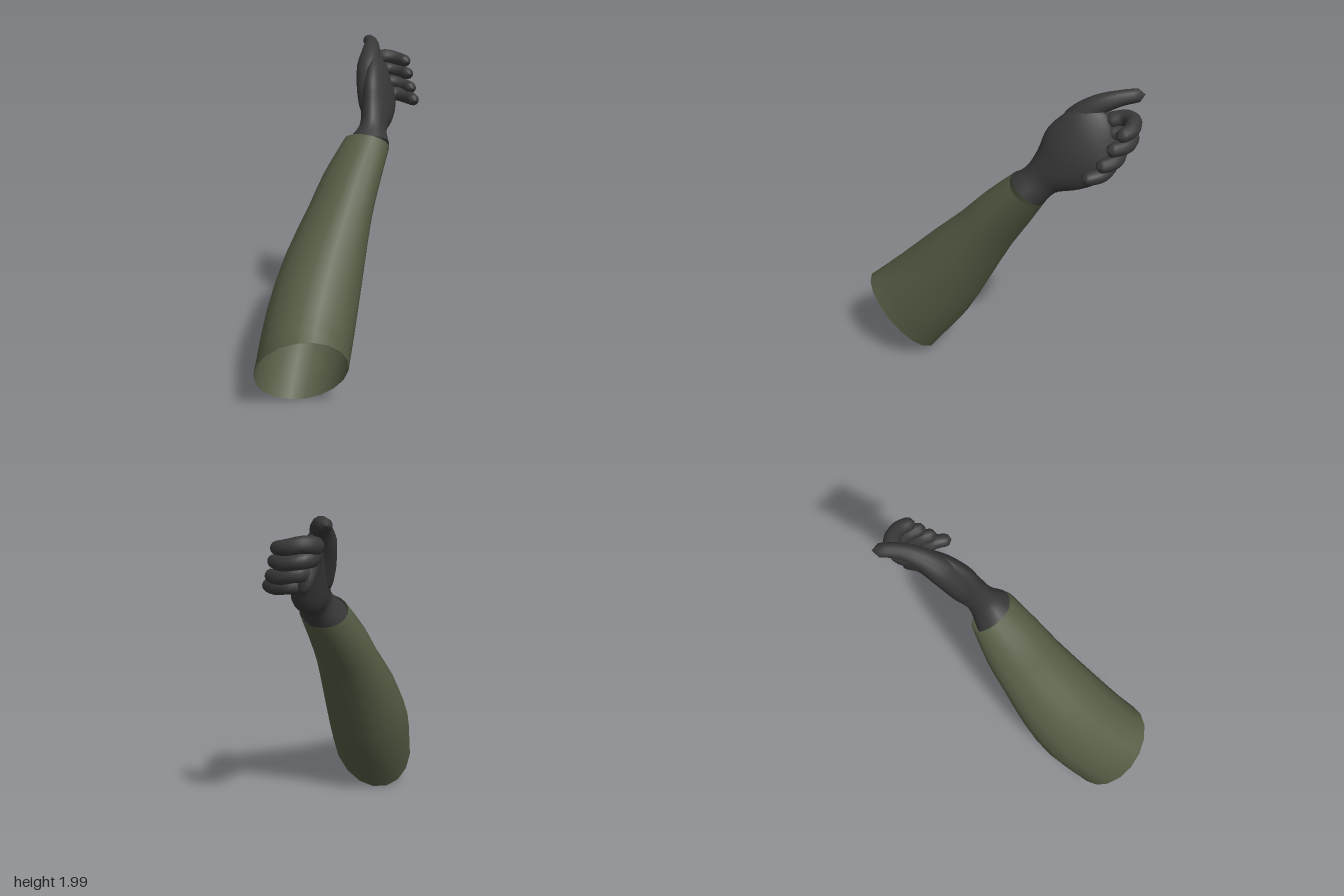
import * as THREE from 'three';

const V = (x, y, z) => new THREE.Vector3(x, y, z);

// Ring of points around centre c, spanned by half axes p and q
function ring(c, p, q, n, offset = 0) {
  return Array.from({ length: n }, (_, j) => {
    const a = (j / n) * Math.PI * 2 + offset;
    return c.clone().addScaledVector(p, Math.cos(a)).addScaledVector(q, Math.sin(a));
  });
}

// Smooth skin through a list of rings
function loft(rings) {
  const n = rings[0].length;
  const pos = rings.flatMap((r) => r.flatMap((p) => p.toArray()));
  const index = [];
  for (let i = 0; i < rings.length - 1; i++) {
    for (let j = 0; j < n; j++) {
      const k = (j + 1) % n;
      const a = i * n + j, b = i * n + k, c = a + n, d = b + n;
      index.push(a, b, c, b, d, c);
    }
  }
  const g = new THREE.BufferGeometry();
  g.setAttribute('position', new THREE.Float32BufferAttribute(pos, 3));
  g.setIndex(index);
  g.computeVertexNormals();
  return g;
}

// Insert splined rings between the given ones
function refine(rings, steps) {
  const cols = rings[0].map((_, j) => new THREE.CatmullRomCurve3(rings.map((r) => r[j])));
  const total = (rings.length - 1) * steps;
  return Array.from({ length: total + 1 }, (_, i) => cols.map((c) => c.getPoint(i / total)));
}

// Round-ended tube whose radius changes along its path
function digit(points, radii, flat = 1) {
  const curve = new THREE.CatmullRomCurve3(points.map((p) => V(...p)));
  const steps = 20;
  const frames = curve.computeFrenetFrames(steps);
  const length = curve.getLength();
  const rings = [];
  for (let i = 0; i <= steps; i++) {
    const u = i / steps;
    const f = curve.getUtoTmapping(u) * (radii.length - 1);
    const k = Math.min(Math.floor(f), radii.length - 2);
    let r = THREE.MathUtils.lerp(radii[k], radii[k + 1], f - k);
    const end = Math.min(u, 1 - u) * length;
    if (end < r) r *= Math.sqrt(Math.max(0.0004, 1 - (1 - end / r) ** 2));
    rings.push(ring(curve.getPointAt(u), frames.normals[i].clone().multiplyScalar(r),
      frames.binormals[i].clone().multiplyScalar(r * flat), 12));
  }
  return loft(rings);
}

export function createModel() {
  const group = new THREE.Group();
  const sleeveGreen = new THREE.MeshStandardMaterial({ color: 0x545c44, side: THREE.DoubleSide });
  sleeveGreen.name = 'sleeveGreen';
  const gloveGrey = new THREE.MeshStandardMaterial({ color: 0x383838, side: THREE.DoubleSide });
  gloveGrey.name = 'gloveGrey';
  const add = (name, geometry, material) => {
    const mesh = new THREE.Mesh(geometry, material);
    mesh.name = name;
    group.add(mesh);
  };

  // Sleeve: slanted open end, then elliptical sections across the forearm axis
  const side = V(0.793, 0, 0.609), up = V(-0.481, 0.614, 0.626);
  const sections = [ // centre, long half axis, short half axis, tilt in degrees
    [[-0.245, 0.5, 0.36], 0.301, 0.254, 50],
    [[-0.13, 0.78, 0.185], 0.26, 0.216, 30],
    [[-0.005, 1.04, 0.035], 0.215, 0.165, 24],
    [[0.083, 1.21, -0.06], 0.19, 0.147, 21],
    [[0.2, 1.4, -0.165], 0.146, 0.117, 10],
  ];
  const sleeve = [ring(V(-0.33, 0.275, 0.535), V(0.26, 0, 0.035), V(0, -0.27, -0.2), 18, -0.38)];
  for (const [c, a, b, deg] of sections) {
    const t = THREE.MathUtils.degToRad(deg);
    const p = side.clone().multiplyScalar(a * Math.cos(t)).addScaledVector(up, a * Math.sin(t));
    const q = side.clone().multiplyScalar(b * Math.sin(t)).addScaledVector(up, -b * Math.cos(t));
    sleeve.push(ring(V(...c), p, q, 18, t));
  }
  add('sleeve', loft(refine(sleeve, 2)), sleeveGreen);

  // Wrist and palm: centre, half width vector, half thickness
  const palm = [
    [[0.197, 1.392, -0.158], [-0.058, 0.072, 0.072], 0.138],
    [[0.25, 1.475, -0.22], [-0.05, 0.062, 0.072], 0.082],
    [[0.295, 1.545, -0.3], [-0.08, 0.085, 0.1], 0.085],
    [[0.33, 1.65, -0.375], [-0.1, 0.125, 0.12], 0.08],
    [[0.36, 1.745, -0.47], [-0.075, 0.15, 0.085], 0.062],
    [[0.375, 1.765, -0.56], [-0.04, 0.135, 0.05], 0.045],
    [[0.385, 1.77, -0.595], [-0.001, 0.004, 0.001], 0.002],
  ];
  const dir = V(0.26, 0.61, -0.74).normalize();
  const palmRings = palm.map(([c, w, t]) => {
    const wide = V(...w);
    const thick = wide.clone().cross(dir).normalize().multiplyScalar(t);
    return ring(V(...c), thick, wide, 20);
  });
  add('glovePalm', loft(refine(palmRings, 4)), gloveGrey);

  // Thumb lying along the top of the hand
  add('thumb', digit(
    [[0.25, 1.54, -0.28], [0.25, 1.69, -0.33], [0.265, 1.82, -0.4], [0.3, 1.905, -0.49],
      [0.33, 1.95, -0.6], [0.338, 1.965, -0.735]],
    [0.06, 0.075, 0.075, 0.058, 0.043, 0.034]), gloveGrey);

  // Curled fingers
  const fingers = {
    indexFinger: [[0.34, 1.83, -0.52], [0.375, 1.855, -0.625], [0.44, 1.865, -0.645], [0.51, 1.85, -0.61], [0.555, 1.835, -0.525]],
    middleFinger: [[0.36, 1.77, -0.52], [0.395, 1.79, -0.62], [0.45, 1.785, -0.635], [0.52, 1.77, -0.585], [0.555, 1.765, -0.475]],
    ringFinger: [[0.38, 1.69, -0.49], [0.415, 1.71, -0.57], [0.46, 1.71, -0.575], [0.53, 1.69, -0.525], [0.56, 1.68, -0.425]],
    littleFinger: [[0.4, 1.61, -0.45], [0.43, 1.635, -0.515], [0.475, 1.64, -0.52], [0.535, 1.625, -0.46], [0.555, 1.615, -0.35]],
  };
  for (const [name, path] of Object.entries(fingers)) {
    add(name, digit(path, [0.046, 0.047, 0.044, 0.041, 0.034]), gloveGrey);
  }
  return group;
}
